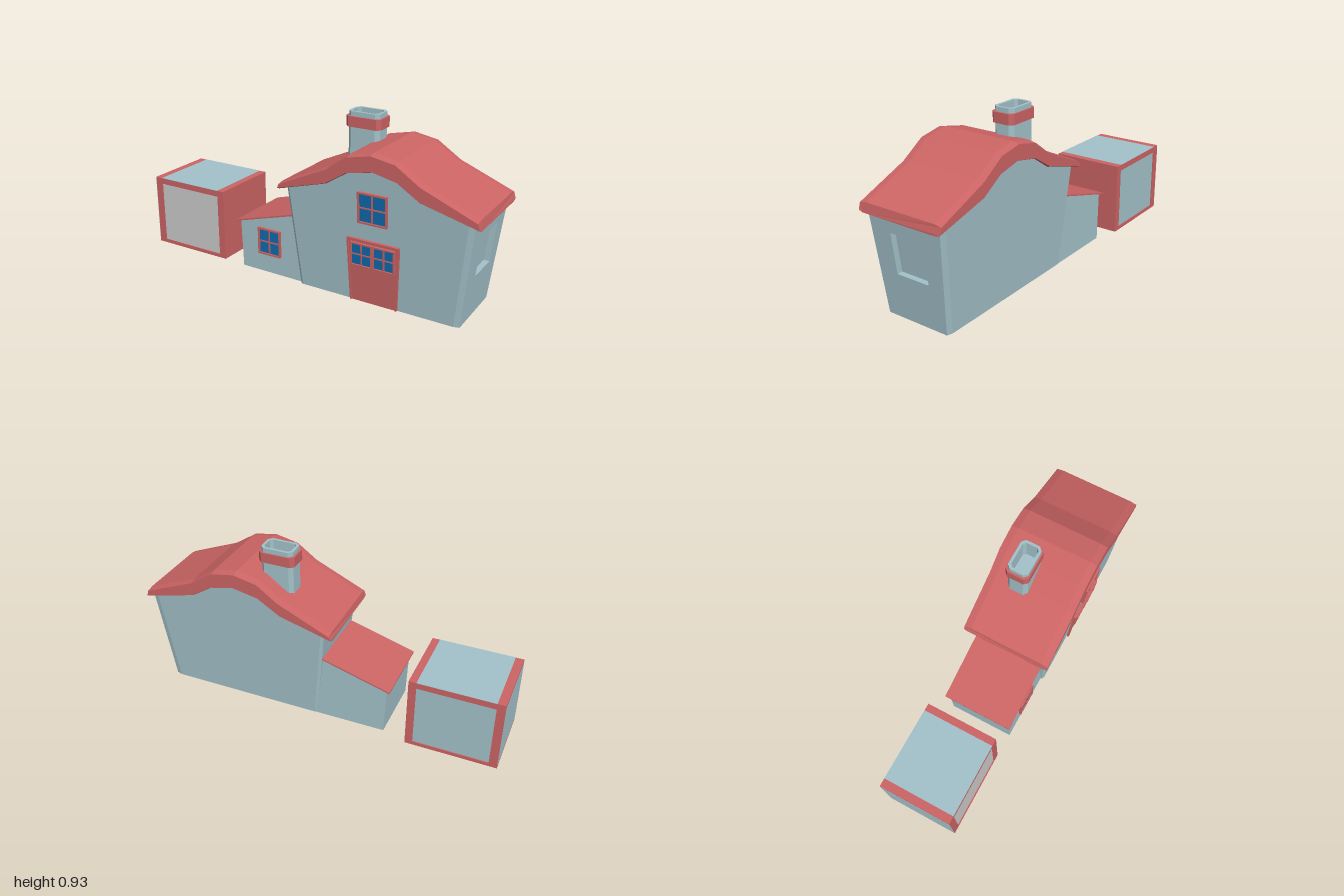
import * as THREE from 'three';

const mat = (color) => new THREE.MeshStandardMaterial({ color, flatShading: true });
const RED = mat(0xcc6464), WALL = mat(0xa3c2ca), GLASS = mat(0x0f6cb0), GREY = mat(0xcccccc);

function add(parent, name, geometry, material, x = 0, y = 0, z = 0) {
  const mesh = new THREE.Mesh(geometry, material);
  mesh.name = name;
  mesh.position.set(x, y, z);
  parent.add(mesh);
  return mesh;
}

const box = (w, h, d) => new THREE.BoxGeometry(w, h, d);
const toVectors = (points) => points.map(([x, y]) => new THREE.Vector2(x, y));

function extrude(points, depth, hole) {
  const shape = new THREE.Shape(toVectors(points));
  if (hole) shape.holes.push(new THREE.Path(toVectors(hole)));
  return new THREE.ExtrudeGeometry(shape, { depth, bevelEnabled: false });
}

// Moves every vertex of a geometry by a rule
function deform(geometry, rule) {
  const p = geometry.attributes.position, v = new THREE.Vector3();
  for (let i = 0; i < p.count; i++) {
    rule(v.fromBufferAttribute(p, i));
    p.setXYZ(i, v.x, v.y, v.z);
  }
  geometry.computeVertexNormals();
  return geometry;
}

const rect = (w, h, cx = 0, cy = 0) => [
  [cx - w / 2, cy - h / 2], [cx + w / 2, cy - h / 2], [cx + w / 2, cy + h / 2], [cx - w / 2, cy + h / 2]];

// Rectangle with cut corners
const cutRect = (w, h, c) => [
  [-w / 2 + c, -h / 2], [w / 2 - c, -h / 2], [w / 2, -h / 2 + c], [w / 2, h / 2 - c],
  [w / 2 - c, h / 2], [-w / 2 + c, h / 2], [-w / 2, h / 2 - c], [-w / 2, -h / 2 + c]];

// House walls splay outward with height
const halfDepth = (y) => 0.19 + 0.066 * y;
const MID = 0.46, HALF = 0.45, SPLAY = 0.104;
const TILT = Math.atan(0.066);

// End wall with chamfered upright corners; side is 1 (left) or -1 (right)
function endWall(side, t, hole) {
  const top = 0.56, a = halfDepth(0), b = halfDepth(top);
  const g = extrude([[-a, 0], [a, 0], [b, top], [-b, top]], t, hole);
  g.rotateY(side * Math.PI / 2);
  return deform(g, (v) => {
    if (Math.abs(v.x) > t / 2 && Math.abs(v.z) > 0.15) v.z -= Math.sign(v.z) * 0.009;
    v.x += MID + side * (HALF - t + SPLAY * v.y);
  });
}

// Curved roof slab: [top x, top y, bottom x, bottom y] along its length
function roofGeometry() {
  const profile = [
    [-0.085, 0.57, -0.095, 0.53], [0.2, 0.70, 0.19, 0.61], [0.31, 0.78, 0.31, 0.685],
    [0.44, 0.808, 0.45, 0.713], [0.57, 0.785, 0.58, 0.685], [0.70, 0.70, 0.70, 0.61],
    [0.985, 0.585, 0.995, 0.535]];
  const pos = [], idx = [], n = 8;
  for (const [xt, yt, xb, yb] of profile) {
    pos.push(xb, yb, 0.222, xb, yb + 0.009, 0.245, xt, yt - 0.008, 0.245, xt, yt, 0.205,
      xt, yt, -0.205, xt, yt - 0.008, -0.245, xb, yb + 0.009, -0.245, xb, yb, -0.222);
  }
  const last = (profile.length - 1) * n;
  for (let i = 0; i < last; i += n) {
    for (let j = 0; j < n; j++) {
      const k = (j + 1) % n;
      idx.push(i + j, i + n + j, i + n + k, i + j, i + n + k, i + k);
    }
  }
  for (let k = 1; k < n - 1; k++) idx.push(0, k, k + 1, last, last + k + 1, last + k);
  const g = new THREE.BufferGeometry();
  g.setAttribute('position', new THREE.Float32BufferAttribute(pos, 3));
  g.setIndex(idx);
  g.computeVertexNormals();
  return g;
}

// Four-pane window lying on a wall, frame facing +z
function makeWindow(name, w, h, bar = 0.009) {
  const win = new THREE.Group();
  win.name = name;
  add(win, 'frame', extrude(rect(w, h), 0.014, rect(w - 2 * bar, h - 2 * bar)), RED, 0, 0, -0.002);
  add(win, 'glass', box(w - bar, h - bar, 0.008), GLASS);
  add(win, 'uprightBar', box(bar * 0.8, h - bar, 0.018), RED);
  add(win, 'crossBar', box(w - bar, bar * 0.8, 0.017), RED);
  return win;
}

function makeDoor() {
  const door = new THREE.Group();
  door.name = 'door';
  add(door, 'doorPanel', extrude([[-0.125, 0], [0.125, 0], [0.138, 0.348], [-0.138, 0.348]], 0.008), RED);
  for (const s of [-1, 1]) {
    const post = add(door, 'doorPost', box(0.009, 0.352, 0.02), RED, s * 0.134, 0.176, 0.004);
    post.rotation.z = -s * 0.038;
    const pane = makeWindow('doorWindow', 0.122, 0.13, 0.008);
    pane.position.set(s * 0.062, 0.27, 0.008);
    door.add(pane);
  }
  add(door, 'lintel', box(0.285, 0.01, 0.022), RED, 0, 0.35, 0.004);
  return door;
}

function makeHouse() {
  const house = new THREE.Group();
  house.name = 'house';

  // Main walls, filling up into the roof slab
  const L = MID - HALF + 0.015, R = MID + HALF - 0.03;
  const outline = [[L, 0], [R, 0], [R + SPLAY * 0.56, 0.56], [0.70, 0.63], [0.575, 0.71], [0.445, 0.735],
    [0.31, 0.71], [0.195, 0.63], [L - SPLAY * 0.555, 0.555]];
  const body = extrude(outline, 2).translate(0, 0, -1);
  add(house, 'mainWalls', deform(body, (v) => { v.z *= halfDepth(v.y); }), WALL);
  add(house, 'rightEndWall', endWall(-1, 0.015), WALL);
  // Left end has a sunken window opening
  add(house, 'leftEndWall', endWall(1, 0.03,
    [[-0.086, 0.242], [0.106, 0.242], [0.113, 0.455], [-0.092, 0.455]]), WALL);

  add(house, 'roof', roofGeometry(), RED);

  const upper = makeWindow('upperWindow', 0.16, 0.165);
  upper.position.set(0.45, 0.528, halfDepth(0.528) + 0.002);
  upper.rotation.x = TILT;
  const door = makeDoor();
  door.position.set(0.452, 0.002, halfDepth(0));
  door.rotation.x = TILT;
  house.add(upper, door);

  // Hollow chimney with a collar
  const tube = (w, d, h, t) => extrude(cutRect(w, d, 0.02), h, cutRect(w - 2 * t, d - 2 * t, 0.014))
    .rotateX(-Math.PI / 2);
  const cx = 0.255, cz = -0.073;
  add(house, 'chimneyShaft', tube(0.178, 0.115, 0.275, 0.014), WALL, cx, 0.65, cz);
  add(house, 'chimneyFloor', box(0.15, 0.01, 0.088), WALL, cx, 0.80, cz);
  add(house, 'chimneyCollar', tube(0.2, 0.13, 0.055, 0.02), RED, cx, 0.845, cz);
  return house;
}

// Lean-to with a thin sloping roof
function makeAnnex() {
  const annex = new THREE.Group();
  annex.name = 'annex';
  add(annex, 'annexWalls', extrude(
    [[-0.376, 0.004], [0.03, 0.002], [-0.01, 0.382], [-0.386, 0.274]], 0.365), WALL, 0, 0, -0.19);
  add(annex, 'annexRoof', extrude(
    [[-0.405, 0.27], [-0.01, 0.384], [-0.01, 0.392], [-0.405, 0.278]], 0.395), RED, 0, 0, -0.205);
  const win = makeWindow('annexWindow', 0.143, 0.153);
  win.position.set(-0.193, 0.187, 0.178);
  annex.add(win);
  return annex;
}

// Framed cube standing beside the house
function makeCrate() {
  const crate = new THREE.Group();
  crate.name = 'crate';
  crate.position.set(-0.755, 0.207, -0.032);
  const w = 0.49, h = 0.405, d = 0.405, inset = 0.006;
  const opening = rect(0.405, 0.35, 0.002, -0.007);
  add(crate, 'crateCore', box(w, h, d - 2 * inset), RED);
  for (const s of [-1, 1]) {
    const z = s * (d / 2 - inset / 2);
    add(crate, s > 0 ? 'frontFrame' : 'backFrame', extrude(rect(w, h), inset, opening), RED, 0, 0, z - inset / 2);
    add(crate, s > 0 ? 'frontPanel' : 'backPanel', box(0.405, 0.35, 0.002),
      s > 0 ? GREY : WALL, 0.002, -0.007, s * (d / 2 - inset));
  }
  add(crate, 'topPanel', box(0.405, 0.002, d), WALL, 0.002, h / 2, 0);
  add(crate, 'sidePanel', box(0.002, 0.365, d), WALL, -w / 2, 0, 0);
  return crate;
}

export function createModel() {
  const model = new THREE.Group();
  model.name = 'cottage';
  model.add(makeHouse(), makeAnnex(), makeCrate());
  return model;
}
